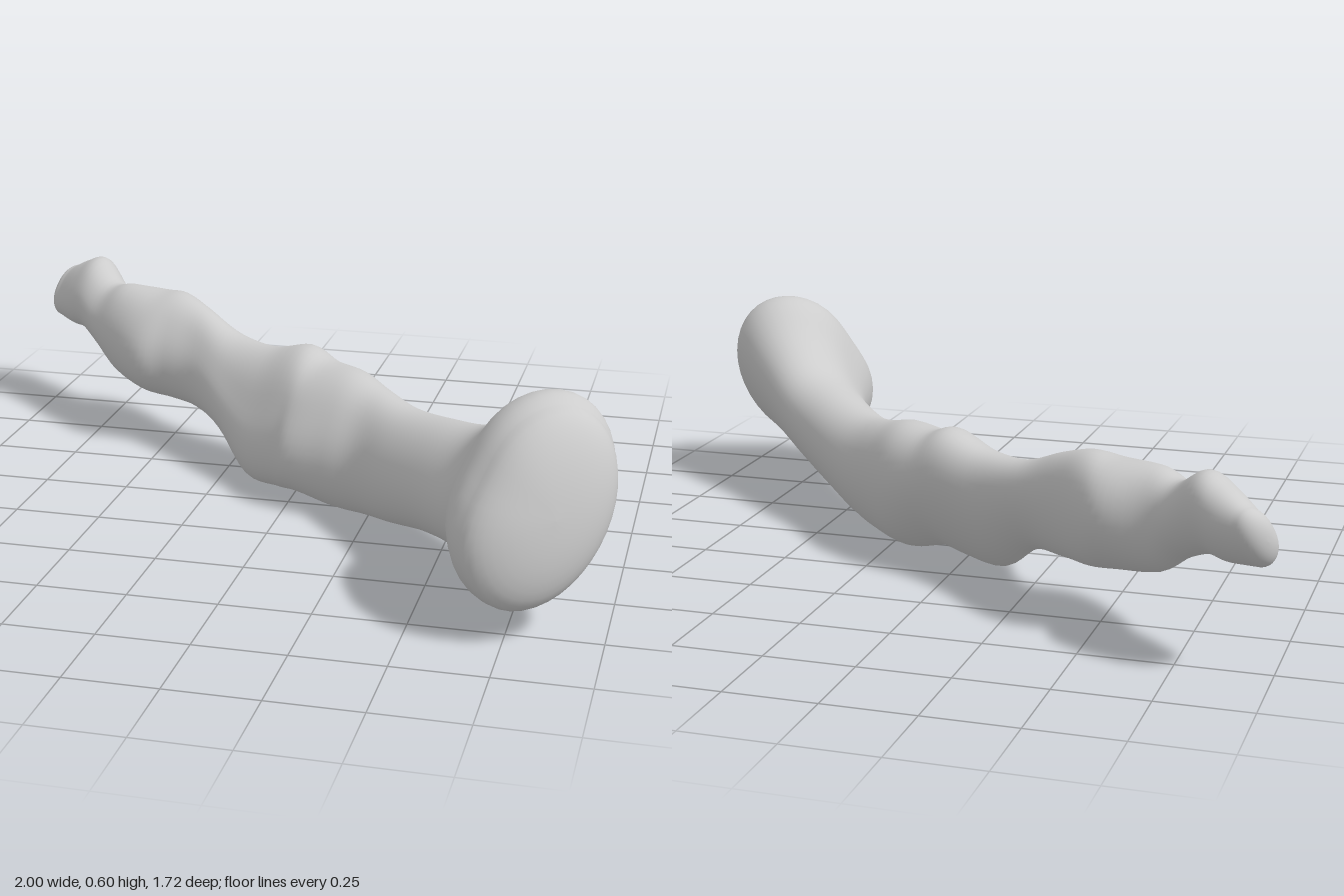
import * as THREE from 'three';

// Cross-sections along the bone, from thin tip to broad head:
// [back edge x, z, front edge x, z, bottom y, top y, tilt]
const SECTIONS = [
  [-0.905, -0.855, -0.985, -0.745, 0.29, 0.45, 0.035],
  [-0.84, -0.83, -0.92, -0.67, 0.28, 0.485, 0.03],
  [-0.78, -0.785, -0.86, -0.615, 0.28, 0.505, 0.03],
  [-0.7, -0.705, -0.79, -0.55, 0.24, 0.45, 0.02],
  [-0.635, -0.67, -0.71, -0.47, 0.18, 0.465, 0.02],
  [-0.52, -0.655, -0.59, -0.365, 0.155, 0.465, 0.03],
  [-0.45, -0.605, -0.49, -0.35, 0.145, 0.47, 0.03],
  [-0.36, -0.52, -0.39, -0.315, 0.14, 0.44, 0.04],
  [-0.24, -0.435, -0.28, -0.21, 0.115, 0.39, 0.06],
  [-0.1, -0.36, -0.17, -0.09, 0.02, 0.385, 0.08],
  [0.03, -0.31, -0.06, 0.0, 0.02, 0.42, 0.08],
  [0.12, -0.265, 0.0, 0.06, 0.03, 0.395, 0.06],
  [0.22, -0.2, 0.12, 0.105, 0.005, 0.395, 0.04],
  [0.31, -0.11, 0.22, 0.145, 0.01, 0.37, 0.03],
  [0.42, -0.01, 0.31, 0.24, 0.03, 0.355, 0.02],
  [0.55, 0.11, 0.43, 0.38, 0.07, 0.375, 0.02],
  [0.68, 0.235, 0.525, 0.52, 0.1, 0.41, 0.03],
  [0.8, 0.345, 0.57, 0.62, 0.115, 0.485, 0.05],
  [0.92, 0.455, 0.585, 0.72, 0.105, 0.575, 0.07],
  [0.98, 0.53, 0.605, 0.785, 0.085, 0.6, 0.08],
  [0.99, 0.585, 0.64, 0.83, 0.09, 0.58, 0.08],
];
const LAST = SECTIONS.length - 1;
const SIDES = 40;
const STEPS = 5;
const CAP_RINGS = 10;
const HEAD_LEAN = 0.2;

// Smooth curve through the section values
function sectionAt(t) {
  const i = Math.min(Math.floor(t), LAST - 1), f = t - i;
  const at = (k) => SECTIONS[Math.max(0, Math.min(LAST, k))];
  const [a, b, c, d] = [at(i - 1), at(i), at(i + 1), at(i + 2)];
  return b.map((v, k) => v + 0.5 * f * (c[k] - a[k]
    + f * (2 * a[k] - 5 * v + 4 * c[k] - d[k] + f * (3 * (v - c[k]) + d[k] - a[k]))));
}

// One tilted elliptical ring at station t, scaled about its centre and moved
// along the axis; rings near the head lean back at the top
function addRing(positions, t, scale = 1, shift = 0) {
  const [ax, az, bx, bz, low, high, tilt] = sectionAt(t);
  const ux = (ax - bx) / 2, uz = (az - bz) / 2, len = Math.hypot(ux, uz);
  const half = (high - low) / 2;
  const h = Math.sqrt(half * half - tilt * tilt);
  const lean = HEAD_LEAN * THREE.MathUtils.smoothstep(t, LAST - 5, LAST - 1);
  for (let j = 0; j < SIDES; j++) {
    const a = (j / SIDES) * Math.PI * 2;
    // Shallow hollow above the front edge, deeper where the tilt is stronger
    const r = scale * (1 - 1.3 * tilt * Math.exp(-(((a - 2.4) / 0.45) ** 2)));
    const c = Math.cos(a) * r, v = Math.sin(a) * r;
    const along = (shift - lean * h * v) / len;
    positions.push(
      (ax + bx) / 2 + ux * c - uz * along,
      (low + high) / 2 + h * v + tilt * c,
      (az + bz) / 2 + uz * c + ux * along,
    );
  }
}

// Rounded end: rings shrink while moving out along the axis
function addCapRing(positions, t, k, depth) {
  const a = (k / CAP_RINGS) * Math.PI / 2;
  addRing(positions, t, Math.max(Math.cos(a), 0.0001) ** 0.9, depth * Math.sin(a));
}

function boneGeometry(tipDepth, headDepth) {
  const positions = [], index = [];
  // Rounded tip, shaft, bulging head
  for (let k = CAP_RINGS; k > 0; k--) addCapRing(positions, 0, k, -tipDepth);
  for (let k = 0; k <= LAST * STEPS; k++) addRing(positions, k / STEPS);
  for (let k = 1; k <= CAP_RINGS; k++) addCapRing(positions, LAST, k, headDepth);
  const rings = positions.length / 3 / SIDES;
  for (let i = 0; i < rings - 1; i++) {
    for (let j = 0; j < SIDES; j++) {
      const a = i * SIDES + j, b = i * SIDES + (j + 1) % SIDES;
      index.push(a, b, a + SIDES, b, b + SIDES, a + SIDES);
    }
  }
  const geometry = new THREE.BufferGeometry();
  geometry.setAttribute('position', new THREE.Float32BufferAttribute(positions, 3));
  geometry.setIndex(index);
  geometry.computeVertexNormals();
  return geometry;
}

export function createModel() {
  const group = new THREE.Group();
  group.name = 'fingerBones';
  const material = new THREE.MeshStandardMaterial({ color: 0xcccccc });
  material.name = 'bone grey';
  const bone = new THREE.Mesh(boneGeometry(0.05, 0.095), material);
  bone.name = 'jointedBone';
  group.add(bone);
  return group;
}
